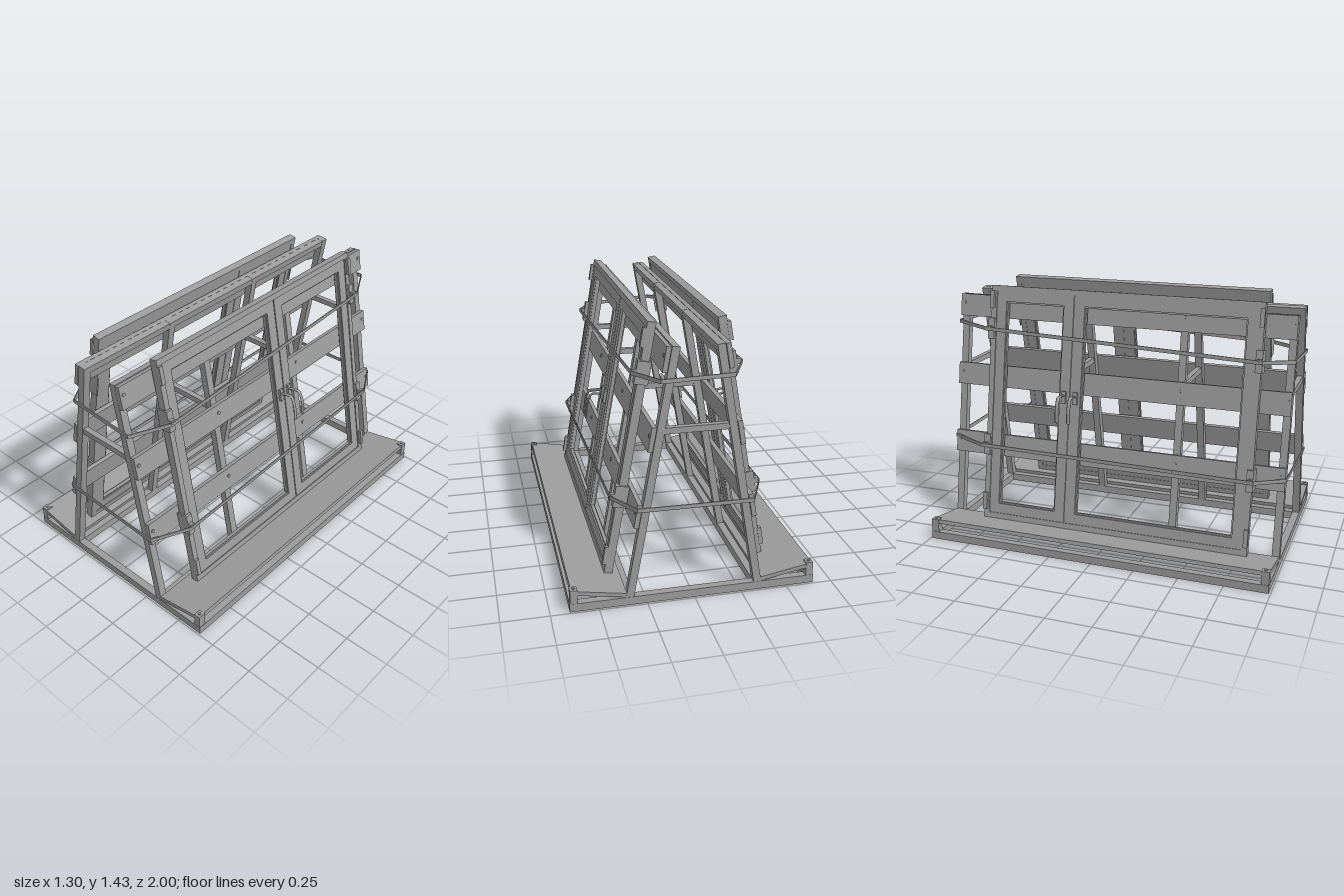
import * as THREE from 'three';

const TILT = THREE.MathUtils.degToRad(10);
const FOOT_X = 0.34, FOOT_Y = 0.045;
const LEG_Z = [-0.968, -0.3, 0.375, 0.968];
const BOARD_U = [0.45, 0.858, 1.262];
const grey = new THREE.MeshStandardMaterial({ color: 0x9c9c9c, flatShading: true });
const smoothGrey = new THREE.MeshStandardMaterial({ color: 0x9c9c9c });

function add(parent, name, geometry, material = grey) {
  const mesh = new THREE.Mesh(geometry, material);
  mesh.name = name;
  parent.add(mesh);
  return mesh;
}

// Box given by its lower and upper limits on each axis
function box(parent, name, [x0, x1], [y0, y1], [z0, z1]) {
  const mesh = add(parent, name, new THREE.BoxGeometry(x1 - x0, y1 - y0, z1 - z0));
  mesh.position.set((x0 + x1) / 2, (y0 + y1) / 2, (z0 + z1) / 2);
  return mesh;
}

// Rectangular frame in the z-y plane, with thickness along x
function ring(parent, name, [z0, z1], [y0, y1], width, [x0, x1]) {
  const rect = (Type, inset) => {
    const p = new Type();
    p.moveTo(-z1 + inset, y0 + inset);
    p.lineTo(-z0 - inset, y0 + inset);
    p.lineTo(-z0 - inset, y1 - inset);
    p.lineTo(-z1 + inset, y1 - inset);
    p.closePath();
    return p;
  };
  const shape = rect(THREE.Shape, 0);
  shape.holes.push(rect(THREE.Path, width));
  const geometry = new THREE.ExtrudeGeometry(shape, { depth: x1 - x0, bevelEnabled: false });
  geometry.rotateY(Math.PI / 2);
  const mesh = add(parent, name, geometry);
  mesh.position.x = x0;
  return mesh;
}

// Lever handle with its base plate
function handle(parent, z) {
  const group = new THREE.Group();
  group.name = 'handle';
  group.position.z = z;
  box(group, 'handlePlate', [0.096, 0.114], [0.745, 0.815], [-0.013, 0.013]);
  const path = new THREE.CatmullRomCurve3([
    [0.11, 0.79], [0.16, 0.791], [0.181, 0.786], [0.192, 0.762], [0.198, 0.715], [0.192, 0.648],
  ].map(([x, y]) => new THREE.Vector3(x, y, 0)));
  const lever = new THREE.TubeGeometry(path, 24, 0.005, 8);
  lever.scale(1, 1, 2.2);
  add(group, 'handleLever', lever, smoothGrey);
  const tip = add(group, 'handleTip', new THREE.SphereGeometry(0.005, 8, 6), smoothGrey);
  tip.scale.z = 2.2;
  tip.position.set(0.192, 0.648, 0);
  parent.add(group);
}

// Two-sash window leaning on the boards; straps cross its edges at padU
function windowUnit(parent, z0, z1, split, padU) {
  const group = new THREE.Group();
  group.name = 'window';
  parent.add(group);
  ring(group, 'windowFrame', [z0, z1], [0.02, 1.387], 0.032, [0.06, 0.105]);
  for (const [a, b] of [[z0 + 0.03, split - 0.003], [split + 0.003, z1 - 0.03]]) {
    ring(group, 'sash', [a, b], [0.05, 1.357], 0.06, [0.063, 0.099]);
    ring(group, 'glazingBead', [a + 0.058, b - 0.058], [0.108, 1.299], 0.01, [0.07, 0.09]);
  }
  box(group, 'meetingStrip', [0.066, 0.092], [0.052, 1.355], [split - 0.006, split + 0.006]);
  for (const side of [-1, 1]) handle(group, split + side * 0.035);

  [z0, z1].forEach((edge, i) => {
    const dir = i ? 1 : -1;
    const span = (a, b) => [edge + dir * a, edge + dir * b].sort((p, q) => p - q);
    // Hinges near the top and bottom corners
    for (const u of [0.12, 1.305]) {
      box(group, 'hinge', [0.1, 0.122], [u - 0.05, u + 0.05], span(-0.022, 0.002));
    }
    // Corner protectors below the straps
    for (const u of padU[i]) {
      box(group, 'cornerPad', [0.1, 0.122], [u - 0.06, u + 0.06], span(-0.03, 0.008));
      box(group, 'cornerPad', [0.05, 0.122], [u - 0.06, u + 0.06], span(0, 0.008));
      box(group, 'strapBlock', [0.12, 0.145], [u - 0.014, u + 0.014], span(-0.02, 0.008));
    }
  });
}

// Height of a strap along one side, from rear to front
const STRAPS = [
  { right: [0.53, 0.465], left: [0.525, 0.495] },
  { right: [1.19, 1.09], left: [1.2, 1.12] },
];
const strapY = ([rear, front], z) => rear + (front - rear) * (z + 1) / 2;
const slopeU = (n, y) => (y - FOOT_Y - n * Math.sin(TILT)) / Math.cos(TILT);
const slopeX = (n, y) => FOOT_X - slopeU(n, y) * Math.sin(TILT) + n * Math.cos(TILT);

// One leaning side of the rack; the other is the same turned half round
function rackSide(s) {
  const turn = new THREE.Group();
  turn.name = s > 0 ? 'leftSide' : 'rightSide';
  turn.rotation.y = s > 0 ? 0 : Math.PI;
  const lean = new THREE.Group();
  lean.name = 'leaningFrame';
  lean.position.set(FOOT_X, FOOT_Y, 0);
  lean.rotation.z = TILT;
  turn.add(lean);

  for (const legZ of LEG_Z) {
    const z = legZ * s;
    box(lean, 'leg', [-0.02, 0.02], [-0.006, 1.33], [z - 0.021, z + 0.021]);
  }
  box(lean, 'topRail', [-0.019, 0.019], [1.29, 1.329], [-0.985, 0.985]);
  for (const u of BOARD_U) {
    box(lean, 'board', [0.0225, 0.047], [u - 0.064, u + 0.064], [-0.99, 0.99]);
    for (const legZ of LEG_Z) {
      const bolt = add(lean, 'bolt', new THREE.CylinderGeometry(0.01, 0.01, 0.036, 12), smoothGrey);
      bolt.rotation.z = Math.PI / 2;
      bolt.position.set(0.034, u + 0.015, legZ * s);
    }
  }
  // Sloping shelf that carries the window
  box(lean, 'shelf', [0.02, 0.308], [-0.003, 0.02], [-0.988, 0.988]);

  const [z0, z1, split] = s > 0 ? [-0.79, 0.782, -0.108] : [-0.825, 0.76, 0.25];
  const heights = z => STRAPS.map(k => slopeU(0.13, strapY(s > 0 ? k.right : k.left, z * s)));
  windowUnit(lean, z0, z1, split, [heights(z0), heights(z1)]);

  // Posts at the outer corners of the shelf
  for (const z of [-0.968, 0.968]) {
    box(turn, 'shelfPost', [0.609, 0.647], [0.04, 0.12], [z - 0.021, z + 0.021]);
    const cap = add(turn, 'postBolt', new THREE.CylinderGeometry(0.008, 0.008, 0.008, 10), smoothGrey);
    cap.position.set(0.628, 0.122, z);
  }
  box(turn, 'outerBaseRail', [0.61, 0.65], [0, 0.045], [-0.95, 0.95]);
  box(turn, 'innerBaseRail', [0.32, 0.362], [0, 0.045], [-0.95, 0.95]);
  return turn;
}

// Flat strap stretched round the whole load as a closed loop
function strap(parent, { right, left }) {
  const corner = (s, n, z) => {
    const y = strapY(s > 0 ? right : left, z);
    return new THREE.Vector3(s * slopeX(n, y), y, z);
  };
  const points = [
    corner(1, 0.045, 0.994), corner(1, 0.146, 0.792), corner(1, 0.146, -0.8), corner(1, 0.045, -0.994),
    corner(-1, 0.045, -0.994), corner(-1, 0.146, -0.77), corner(-1, 0.146, 0.835), corner(-1, 0.045, 0.994),
  ];
  points.forEach((a, i) => {
    const b = points[(i + 1) % points.length];
    const piece = add(parent, 'strap', new THREE.BoxGeometry(0.006, 0.021, a.distanceTo(b) + 0.004));
    piece.position.copy(a).lerp(b, 0.5);
    piece.lookAt(b);
  });
}

export function createModel() {
  const model = new THREE.Group();
  model.name = 'windowTransportRack';
  model.add(rackSide(1), rackSide(-1));

  // Cross members of the base and between the legs
  for (const z of [-0.969, 0.969]) {
    box(model, 'baseCrossRail', [-0.65, 0.65], [0, 0.045], [z - 0.021, z + 0.021]);
  }
  for (const z of LEG_Z) {
    box(model, 'crossBar', [-0.172, 0.172], [0.918, 0.95], [z - 0.016, z + 0.016]);
  }
  STRAPS.forEach(heights => strap(model, heights));
  return model;
}
